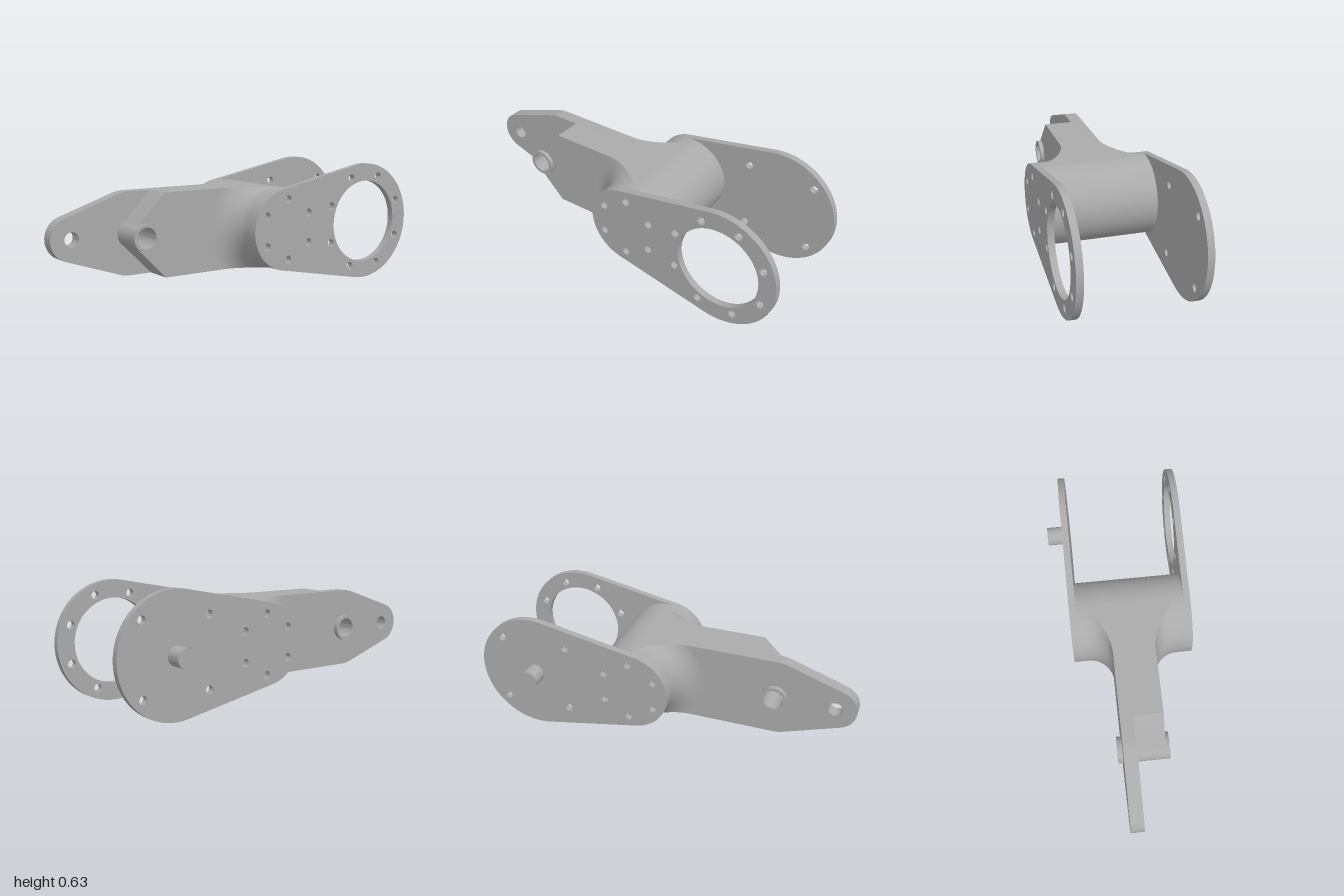
import * as THREE from 'three';
import { toCreasedNormals } from 'three/addons/utils/BufferGeometryUtils.js';
import { ParametricGeometry } from 'three/addons/geometries/ParametricGeometry.js';

const HUB_X = 0.15, HUB_R = 0.2125;       // hub axis and radius (also half the arm height)
const EYE_X = 0.685, EYE_R = 0.315;       // wide end of the side plates
const PIVOT_X = -0.575, TIP_X = -0.89, TIP_R = 0.11;
const ARM_BACK = -0.07, ARM_FRONT = 0.15; // arm thickness in z
const FILLET = 0.13;

export function createModel() {
  const model = new THREE.Group();
  model.name = 'swingArm';
  const metal = new THREE.MeshStandardMaterial({ color: 0xaaaaaa });
  metal.name = 'grey metal';
  metal.side = THREE.DoubleSide;

  const body = new THREE.Group();
  body.name = 'body';
  body.position.y = 0.315;
  model.add(body);

  const add = (name, geometry) => {
    const mesh = new THREE.Mesh(toCreasedNormals(geometry, 0.5), metal);
    mesh.name = name;
    body.add(mesh);
    return mesh;
  };
  const slab = (name, shape, z0, z1) => {
    const g = new THREE.ExtrudeGeometry(shape, { depth: z1 - z0, bevelEnabled: false, curveSegments: 40 });
    return add(name, g.translate(0, 0, z0));
  };
  const drill = (shape, x, y, r) => {
    shape.holes.push(new THREE.Path().absarc(x, y, r, 0, Math.PI * 2, true));
  };
  const drillRing = (shape, x, ringR, count, start) => {
    for (let i = 0; i < count; i++) {
      const a = start + (i / count) * Math.PI * 2;
      drill(shape, x + ringR * Math.cos(a), ringR * Math.sin(a), 0.021);
    }
  };
  const disc = (x, r) => new THREE.Shape().absarc(x, 0, r, 0, Math.PI * 2, false);

  // Side plates: two circles joined by tangents, with bolt holes
  const plateShape = () => {
    const t = Math.acos((HUB_R - EYE_R) / (EYE_X - HUB_X));
    const s = new THREE.Shape();
    s.absarc(EYE_X, 0, EYE_R, -t, t, false);
    s.absarc(HUB_X, 0, HUB_R, t, Math.PI * 2 - t, false);
    s.closePath();
    drillRing(s, HUB_X, 0.157, 6, Math.PI / 6);
    return s;
  };
  const front = plateShape();
  drill(front, EYE_X, 0, 0.222);
  drillRing(front, EYE_X, 0.26, 8, Math.PI / 8);
  slab('frontPlate', front, 0.325, 0.36);
  const back = plateShape();
  drillRing(back, EYE_X, 0.26, 4, Math.PI / 4);
  slab('backPlate', back, -0.275, -0.24);
  slab('platePin', disc(EYE_X, 0.049), -0.362, -0.275);

  // Hub between the plates
  slab('hub', disc(HUB_X, HUB_R), -0.24, 0.325);

  // Back layer of the arm, running out to the rounded tongue
  const cornerX = -0.607;
  const dx = cornerX - TIP_X;
  const tip = Math.atan2(HUB_R, dx) + Math.acos(TIP_R / Math.hypot(dx, HUB_R));
  const tongue = new THREE.Shape();
  tongue.moveTo(HUB_X, HUB_R);
  tongue.lineTo(cornerX + 0.03, HUB_R);
  tongue.quadraticCurveTo(cornerX, HUB_R, cornerX - 0.028, HUB_R - 0.0095);
  tongue.absarc(TIP_X, 0, TIP_R, tip, Math.PI * 2 - tip, false);
  tongue.lineTo(cornerX - 0.028, -HUB_R + 0.0095);
  tongue.quadraticCurveTo(cornerX, -HUB_R, cornerX + 0.03, -HUB_R);
  tongue.lineTo(HUB_X, -HUB_R);
  tongue.closePath();
  drill(tongue, TIP_X, 0, 0.037);
  drill(tongue, PIVOT_X, 0, 0.06);
  slab('armTongue', tongue, ARM_BACK, 0);

  // Front layer of the arm, ending in a 45 degree nose around the pivot
  const noseR = 0.067;
  const noseX = PIVOT_X + HUB_R - noseR * Math.SQRT2;
  const nose = new THREE.Shape();
  nose.moveTo(HUB_X, HUB_R);
  nose.lineTo(noseX, HUB_R);
  nose.absarc(PIVOT_X, 0, noseR, Math.PI * 0.75, Math.PI * 1.25, false);
  nose.lineTo(noseX, -HUB_R);
  nose.lineTo(HUB_X, -HUB_R);
  nose.closePath();
  drill(nose, PIVOT_X, 0, 0.06);
  slab('armBlock', nose, 0, ARM_FRONT);

  // Pivot bushing through the arm
  const bushing = disc(PIVOT_X, 0.069);
  drill(bushing, PIVOT_X, 0, 0.053);
  slab('pivotBushing', bushing, -0.095, 0.172);

  // Concave fillets that flare the arm into the hub, with flat edges above and below
  for (const [name, z0, side] of [['frontFillet', ARM_FRONT, 1], ['backFillet', ARM_BACK, -1]]) {
    const point = (a, y, target) => {
      const r = HUB_R + FILLET * (1 - Math.sin(a));
      const x = HUB_X - Math.sqrt(Math.max(0, r * r - y * y));
      return target.set(x, y, z0 + side * FILLET * (1 - Math.cos(a)));
    };
    const surface = new ParametricGeometry((u, v, target) => {
      const k = side > 0 ? v : 1 - v;
      point(k * Math.PI / 2, (2 * u - 1) * HUB_R, target);
    }, 40, 20);
    add(name, surface);
    for (const end of [1, -1]) {
      const edge = new ParametricGeometry((u, v, target) => {
        point(u * Math.PI / 2, end * HUB_R, target);
        const k = side * end > 0 ? v : 1 - v;
        target.z = z0 + (target.z - z0) * k;
      }, 20, 1);
      // the flat edge runs from the arm face out to the fillet curve
      add(name + (end > 0 ? 'TopEdge' : 'BottomEdge'), edgeToHub(edge, z0, side, end));
    }
  }
  return model;

  // Replaces the strip with the region enclosed by the curve, the arm face and the hub
  function edgeToHub(strip, z0, side, end) {
    strip.dispose();
    const pts = [];
    for (let i = 0; i <= 20; i++) {
      const a = (i / 20) * Math.PI / 2;
      const r = HUB_R + FILLET * (1 - Math.sin(a));
      pts.push(new THREE.Vector2(HUB_X - Math.sqrt(Math.max(0, r * r - HUB_R * HUB_R)),
        -(z0 + side * FILLET * (1 - Math.cos(a)))));
    }
    pts.push(new THREE.Vector2(HUB_X, -z0));
    const g = new THREE.ShapeGeometry(new THREE.Shape(pts));
    g.rotateX(-Math.PI / 2).translate(0, end * HUB_R, 0);
    if (end < 0) {
      const index = g.index.array;
      for (let i = 0; i < index.length; i += 3) [index[i], index[i + 1]] = [index[i + 1], index[i]];
      g.computeVertexNormals();
    }
    return g;
  }
}
